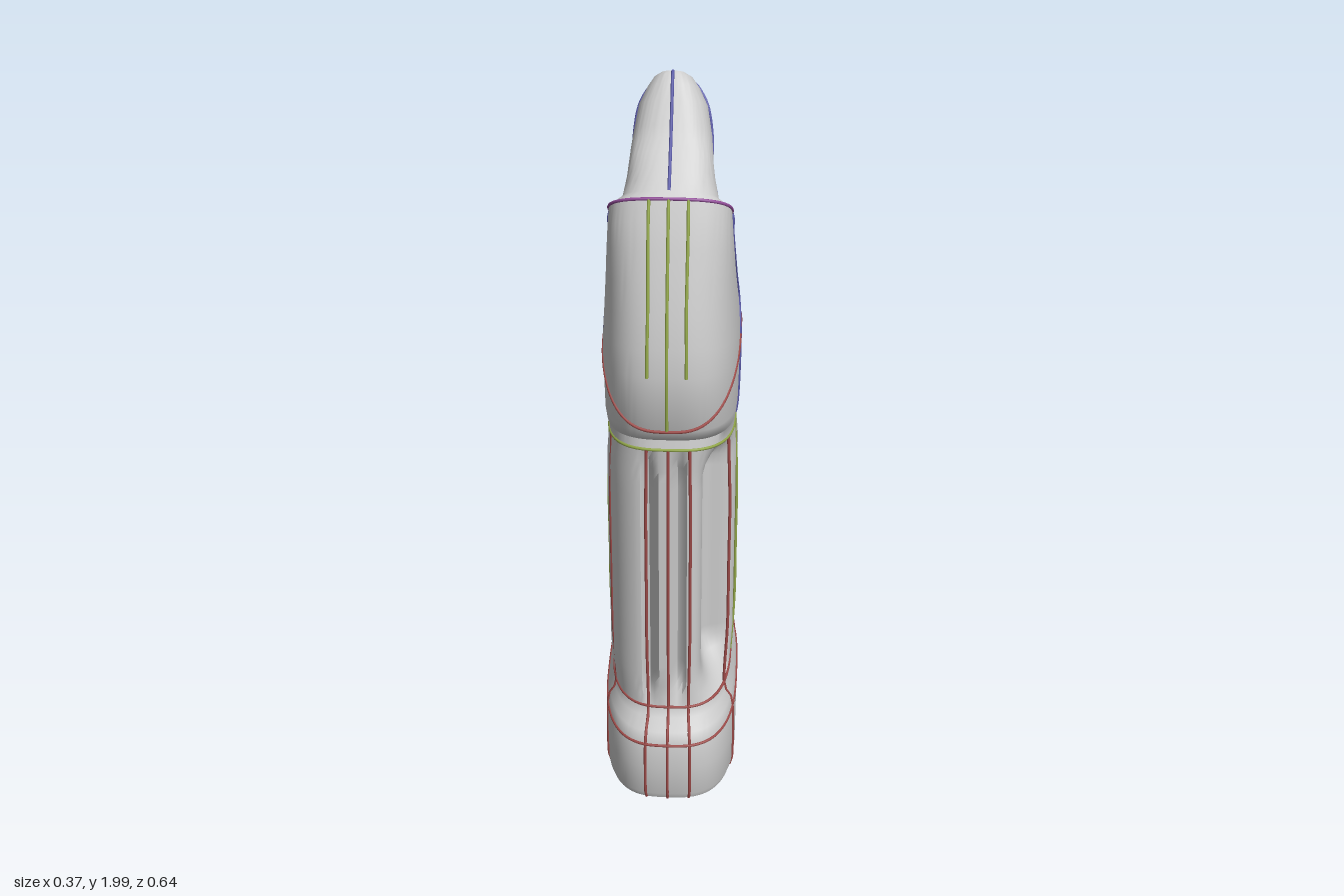
import * as THREE from 'three';
import { mergeVertices, toCreasedNormals } from 'three/addons/utils/BufferGeometryUtils.js';

const grey = new THREE.MeshStandardMaterial({ color: 0xcccccc, side: THREE.DoubleSide });
const colored = (c) => new THREE.MeshStandardMaterial({ color: c });
const red = colored(0x9c4a48), green = colored(0x93a84a), purple = colored(0x95509c), blue = colored(0x5a5aa8);
const lerp = THREE.MathUtils.lerp;
const SQUARE = 0.68; // lower is boxier

// Slanted cross-section: front height, back height, front z, back z, half width, back taper, groove strength
const row = (yF, yB, zF, zB, w, taper = 0, groove = 0) => ({ yF, yB, zF, zB, w, taper, groove });
const bump = (v, c, s) => Math.exp(-(((v - c) / s) ** 2));
const signedPow = (v, e) => Math.sign(v) * Math.pow(Math.abs(v), e);

// Point on a section, a = 0 at the model's left, PI/2 at the front; arch lifts the sides
function pointOn(r, a, arch = 0) {
  const u = signedPow(Math.sin(a), SQUARE);
  let x = r.w * signedPow(Math.cos(a), SQUARE) * (1 + r.taper * (u - 0.3));
  let z = lerp(r.zB, r.zF, (u + 1) / 2);
  const y = lerp(r.yB, r.yF, (u + 1) / 2) + arch * (1 - u * u);
  if (r.groove) {
    // Scooped left front corner, narrow front slots and broad back flutes
    const end = Math.min(1, Math.max(0, Math.abs(u) - 0.55) / 0.35);
    const scoop = r.groove * 0.075 * bump(x, 0.15, 0.075) * bump(z, 0.16, 0.075);
    if (u > 0) z -= r.groove * end * 0.05 * (bump(x, -0.05, 0.012) + bump(x, 0.03, 0.014));
    else z += r.groove * 0.03 * end * bump(Math.abs(x), 0.065, 0.022);
    x -= scoop;
    z -= scoop;
  }
  return new THREE.Vector3(x, y, z);
}

// Angle at which a section reaches a given z on side s
function angleAt(r, z, s) {
  const u = THREE.MathUtils.clamp((2 * (z - r.zB)) / (r.zF - r.zB) - 1, -1, 1);
  const a = Math.asin(signedPow(u, 1 / SQUARE));
  return s > 0 ? a : Math.PI - a;
}

// Skin through a list of sections
function loft(name, rows, capStart, capEnd) {
  const n = 112, pos = [], idx = [];
  const push = (p) => pos.push(p.x, p.y, p.z);
  for (const r of rows) for (let i = 0; i < n; i++) push(pointOn(r, (i / n) * Math.PI * 2));
  for (let j = 0; j < rows.length - 1; j++) for (let i = 0; i < n; i++) {
    const a = j * n + i, b = j * n + ((i + 1) % n), c = a + n, d = b + n;
    idx.push(a, c, b, b, c, d);
  }
  const cap = (j, flip) => {
    const r = rows[j], m = pos.length / 3;
    push(new THREE.Vector3(0, (r.yF + r.yB) / 2, (r.zF + r.zB) / 2));
    for (let i = 0; i < n; i++) {
      const a = j * n + i, b = j * n + ((i + 1) % n);
      idx.push(...(flip ? [m, a, b] : [m, b, a]));
    }
  };
  if (capStart) cap(0, true);
  if (capEnd) cap(rows.length - 1, false);
  const g = new THREE.BufferGeometry();
  g.setAttribute('position', new THREE.Float32BufferAttribute(pos, 3));
  g.setIndex(idx);
  const mesh = new THREE.Mesh(toCreasedNormals(mergeVertices(g), 0.9), grey);
  mesh.name = name;
  return mesh;
}

function tube(name, pts, material, radius = 0.004, closed = false) {
  const curve = new THREE.CatmullRomCurve3(pts, closed);
  const mesh = new THREE.Mesh(new THREE.TubeGeometry(curve, pts.length * 4, radius, 8, closed), material);
  mesh.name = name;
  return mesh;
}

const ring = (name, r, material, arch = 0) =>
  tube(name, Array.from({ length: 40 }, (_, i) => pointOn(r, (i / 40) * Math.PI * 2, arch)), material, 0.004, true);
const seam = (name, rows, a, material) => tube(name, rows.map((r) => pointOn(r, a)), material);
const sideSeam = (name, rows, zs, s, material) =>
  tube(name, rows.map((r, i) => pointOn(r, angleAt(r, zs[i % zs.length], s))), material);

export function createModel() {
  const model = new THREE.Group();

  // Foot with a hollow underside
  const foot = [
    row(0.08, 0.08, 0.26, -0.26, 0.14), row(0.02, 0.02, 0.28, -0.28, 0.155),
    row(0.01, 0.01, 0.305, -0.305, 0.178), row(0.03, 0.03, 0.313, -0.313, 0.184),
    row(0.12, 0.16, 0.315, -0.315, 0.185), row(0.20, 0.29, 0.313, -0.313, 0.183),
    row(0.235, 0.325, 0.3, -0.308, 0.178), row(0.26, 0.35, 0.265, -0.285, 0.168),
    row(0.29, 0.365, 0.256, -0.28, 0.165),
  ];
  model.add(loft('foot', foot, true, false));

  // Grip, hollowed at its left front corner
  const grip = [];
  for (let i = 0; i <= 24; i++) {
    const t = i / 24, fade = Math.min(1, Math.min(t, 1 - t) * 9);
    grip.push(row(lerp(0.29, 1.1, t), lerp(0.365, 1.04, t), 0.256,
      -0.28 - 0.03 * fade, 0.165 + 0.009 * fade, 0, fade));
  }
  model.add(loft('grip', grip, false, false));

  // Shoulder overhanging at front and back, flush at the sides
  const shoulder = [
    row(1.1, 1.04, 0.256, -0.28, 0.165), row(1.13, 1.065, 0.25, -0.258, 0.167),
    row(1.145, 1.08, 0.285, -0.285, 0.169), row(1.18, 1.11, 0.308, -0.305, 0.172),
    row(1.33, 1.23, 0.315, -0.313, 0.175), row(1.4, 1.29, 0.306, -0.3, 0.174),
    row(1.48, 1.35, 0.29, -0.265, 0.169), row(1.56, 1.41, 0.268, -0.22, 0.164, 0.05),
    row(1.64, 1.46, 0.245, -0.16, 0.159, 0.12), row(1.70, 1.51, 0.225, -0.11, 0.154, 0.18),
    row(1.75, 1.55, 0.205, -0.09, 0.15, 0.2),
  ];
  model.add(loft('shoulder', shoulder, false, false));

  // Narrower head on a small ledge
  const head = [
    shoulder[shoulder.length - 1], row(1.765, 1.58, 0.19, -0.092, 0.118, 0.2),
    row(1.785, 1.63, 0.17, -0.085, 0.112, 0.18), row(1.805, 1.665, 0.15, -0.03, 0.108, 0.12),
    row(1.84, 1.715, 0.12, 0.004, 0.103, 0.08), row(1.865, 1.75, 0.098, -0.02, 0.1),
    row(1.89, 1.775, 0.082, -0.1, 0.096), row(1.94, 1.86, 0.05, -0.123, 0.084),
    row(1.975, 1.905, 0.028, -0.118, 0.064), row(1.995, 1.93, 0.012, -0.1, 0.048),
    row(2.0, 1.95, 0.004, -0.06, 0.034),
  ];
  model.add(loft('head', head, false, true));

  // Twin struts behind the neck, leaving a small window
  const strutPath = [[1.5, -0.045], [1.58, -0.055], [1.64, -0.065], [1.71, -0.062], [1.78, -0.074], [1.84, -0.07]];
  for (const s of [-1, 1])
    model.add(tube('neckStrut', strutPath.map(([y, z]) => new THREE.Vector3(s * 0.035, y, z)), grey, 0.044));

  // Seam lines around the body
  const shoulderEdge = row(1.18, 1.22, 0.309, -0.313, 0.175);
  model.add(
    ring('footSeam', foot[5], red), ring('gripLowerSeam', grip[0], red), ring('gripUpperSeam', shoulder[0], green),
    ring('shoulderSeam', shoulderEdge, red, 0.13), ring('neckSeam', shoulder[10], purple),
  );

  // Upright seam lines, mirrored left and right
  const flat = grip.filter((_, i) => i % 6 === 0).map((r) => ({ ...r, groove: 0 }));
  const lower = [...foot.slice(2), ...flat.slice(1)];
  const front = Math.PI / 2;
  const neckZ = [0.04, 0.04, 0.04, 0.04, 0.03, 0, 0.03, 0.08, 0.1, 0.1,
    0.08, 0.06, 0.05, 0.03, 0.01, -0.01, -0.03, -0.05, -0.06, -0.05];
  model.add(seam('frontSeam', lower, front, red), seam('backSeam', lower, -front, red));
  for (const s of [-1, 1]) {
    for (const d of [0.2, 2.94]) model.add(seam('uprightSeam', lower, front + s * d, red));
    for (const z of [0.15, -0.16, -0.24]) model.add(sideSeam('uprightSeam', lower, [z], s, red));
    model.add(sideSeam('sideSeam', flat, [0.02], s, green));
    model.add(seam('frontShoulderSeam', shoulder.slice(4), front + s * 0.15, green));
    model.add(seam('backShoulderSeam', shoulder.slice(4), front + s * 2.94, purple));
    model.add(sideSeam('neckSideSeam', [...shoulder.slice(1), ...head.slice(1)], neckZ, s, blue));
  }
  model.add(seam('frontShoulderSeam', shoulder.slice(3), front, green));
  model.add(seam('headFrontSeam', head.slice(1), front, blue));
  return model;
}
